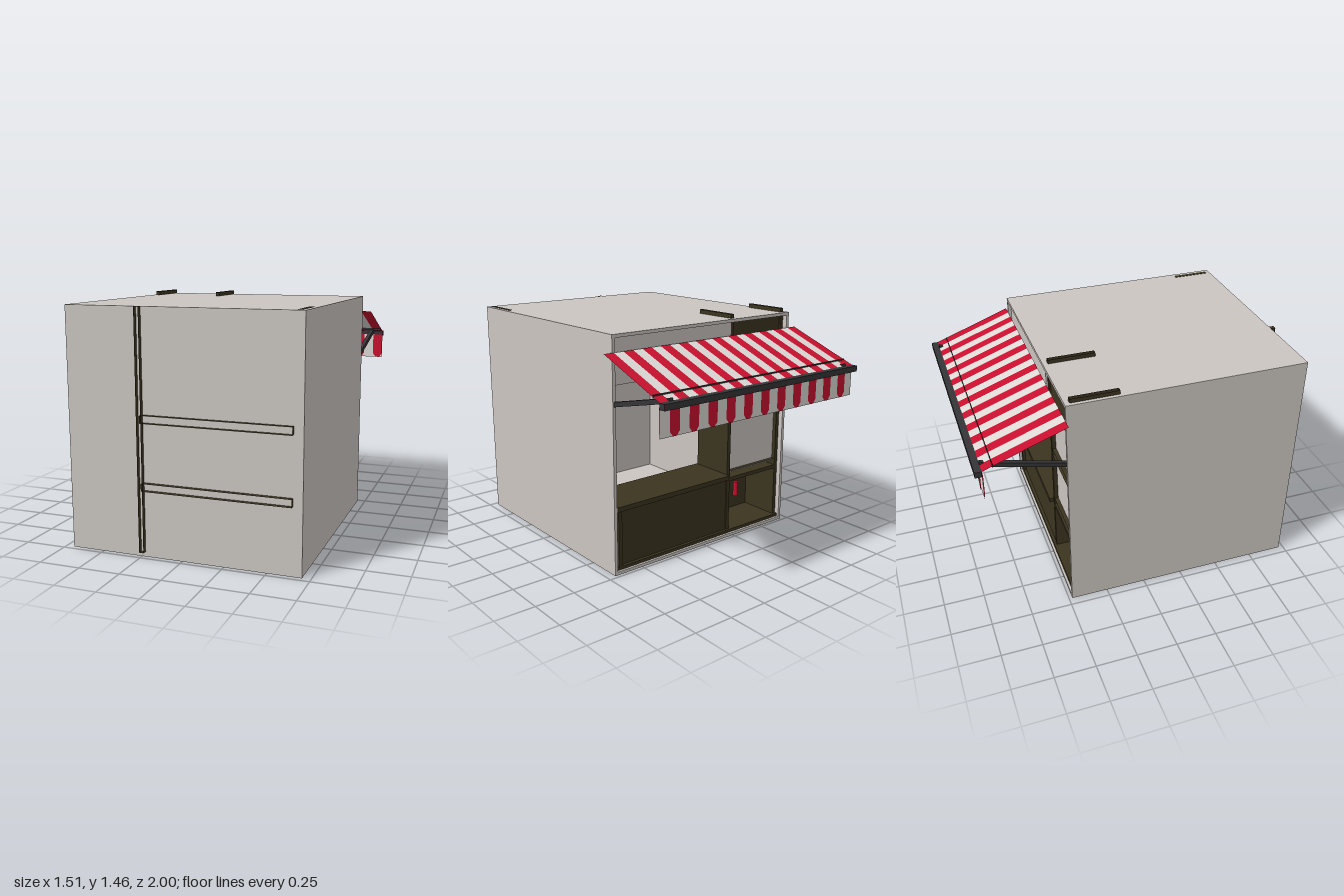
import * as THREE from 'three';

const mat = (name, color, side = THREE.FrontSide) => {
  const m = new THREE.MeshStandardMaterial({ color, side });
  m.name = name;
  return m;
};

export function createModel() {
  const root = new THREE.Group();
  root.name = 'marketKiosk';
  const wall = mat('wallGrey', 0xcbc5c0);
  const wood = mat('darkWood', 0x3b3420, THREE.DoubleSide);
  const red = mat('awningRed', 0xc8102e, THREE.DoubleSide);
  const white = mat('awningWhite', 0xdcd8d4, THREE.DoubleSide);
  const metal = mat('darkMetal', 0x353537);

  const add = (name, geo, material) => {
    const m = new THREE.Mesh(geo, material);
    m.name = name;
    root.add(m);
    return m;
  };
  // Box given by its low and high limits on each axis
  const box = (name, material, x0, x1, y0, y1, z0, z1) => {
    const m = add(name, new THREE.BoxGeometry(x1 - x0, y1 - y0, z1 - z0), material);
    m.position.set((x0 + x1) / 2, (y0 + y1) / 2, (z0 + z1) / 2);
    return m;
  };
  // Square sleeve, open at both ends along the given axis
  const sleeve = (name, material, axis, x0, x1, y0, y1, z0, z1) => {
    const g = new THREE.CylinderGeometry(Math.SQRT1_2, Math.SQRT1_2, 1, 4, 1, true).toNonIndexed();
    g.rotateY(Math.PI / 4);
    if (axis === 'z') g.rotateX(Math.PI / 2);
    g.scale(x1 - x0, y1 - y0, z1 - z0);
    g.computeVertexNormals();
    const m = add(name, g, material);
    m.position.set((x0 + x1) / 2, (y0 + y1) / 2, (z0 + z1) / 2);
  };

  // Shell, open at the serving side (-z)
  const T = 0.02;
  box('floor', wall, -0.7, 0.7, 0, T, -0.48, 0.97);
  box('roof', wall, -0.7, 0.7, 1.43 - T, 1.43, -0.48, 0.97);
  box('frontWall', wall, -0.7, 0.7, T, 1.43 - T, 0.97 - T, 0.97);
  for (const s of [-1, 1]) {
    const a = s * 0.7, b = s * (0.7 - T);
    box('sideWall', wall, Math.min(a, b), Math.max(a, b), T, 1.43 - T, -0.48, 0.97 - T);
  }
  box('ceilingPanel', wood, -0.66, 0.66, 1.395, 1.41, -0.3, 0.78);
  box('servingHeader', wall, -0.21, 0.68, 1.14, 1.41, -0.46, -0.33);

  // Serving counter
  box('counterTop', wood, -0.21, 0.68, 0.39, 0.42, -0.475, -0.16);
  box('counterFront', wood, -0.21, 0.66, 0.03, 0.39, -0.445, -0.425);
  box('counterBase', wood, -0.68, 0.68, T, 0.04, -0.465, -0.165);
  box('counterPost', wood, 0.635, 0.66, 0.03, 0.39, -0.465, -0.165);

  // Tall cabinet beside the counter, its sides rising through the roof
  for (const x of [-0.665, -0.225]) {
    box('cabinetSide', wood, x - 0.0125, x + 0.0125, T, 1.425, -0.45, -0.165);
    sleeve('cabinetSideTop', wood, 'y', x - 0.0125, x + 0.0125, 1.43, 1.455, -0.45, -0.165);
  }
  box('cabinetUpperBox', wood, -0.655, -0.235, 1.15, 1.41, -0.44, -0.165);
  box('cabinetDoor', wall, -0.655, -0.235, 0.42, 1.15, -0.425, -0.41);
  box('cabinetShelf', wood, -0.655, -0.235, 0.37, 0.395, -0.45, -0.165);
  box('nicheBack', wood, -0.655, -0.235, 0.04, 0.37, -0.185, -0.165);
  for (const y of [0.395, 0.785]) {
    sleeve('cabinetRail', wood, 'z', -0.652, -0.238, y, y + 0.045, -0.45, -0.425);
  }
  const bottle = add('redBottle', new THREE.CylinderGeometry(0.018, 0.018, 0.1, 12), red);
  bottle.position.set(-0.44, 0.23, -0.3);

  // Shelf unit edges showing on the front wall
  sleeve('frontUpright', wood, 'z', -0.255, -0.228, 0.03, 1.43, 0.97, 1);
  for (const y of [0.395, 0.785]) {
    sleeve('frontShelfEdge', wood, 'z', -0.235, 0.645, y, y + 0.045, 0.97, 1);
  }
  box('roofInlay', wood, 0.65, 0.675, 1.425, 1.432, 0.71, 0.945);

  // Striped awning sheet
  const N = 23, W = 1.51, w = W / N;
  const run = 0.48, drop = 0.175, len = Math.hypot(run, drop);
  // Pointed valance tab, tip at the bottom
  const tab = new THREE.Shape();
  tab.moveTo(-w / 2, 1.13);
  tab.lineTo(-w / 2, 0.992);
  tab.lineTo(-w / 5, 0.966);
  tab.lineTo(w / 5, 0.966);
  tab.lineTo(w / 2, 0.992);
  tab.lineTo(w / 2, 1.13);
  const tabGeo = new THREE.ShapeGeometry(tab);
  for (let i = 0; i < N; i++) {
    const x = -W / 2 + (i + 0.5) * w;
    const stripe = add('awningStripe', new THREE.PlaneGeometry(w, len), i % 2 ? white : red);
    stripe.rotation.x = Math.atan2(run, drop) - Math.PI;
    stripe.position.set(x, 1.33 - drop / 2, -0.48 - run / 2);
    // Red tabs alternate between the inner and outer faces of the valance
    const t = add('valanceTab', tabGeo, red);
    t.position.set(x, 0, i % 2 ? -0.964 : -0.956);
    if (i % 2) t.rotation.y = Math.PI;
  }
  const valance = add('valance', new THREE.PlaneGeometry(W, 0.165), white);
  valance.position.set(0, 1.0475, -0.96);

  // Awning rail, ridge strip and support arms
  box('awningRail', metal, -W / 2, W / 2, 1.12, 1.155, -1, -0.96);
  box('awningRidge', metal, -0.75, 0.75, 1.165, 1.184, -0.902, -0.898);
  const armLen = Math.hypot(0.5, 0.122);
  for (const s of [-1, 1]) {
    const arm = add('awningArm', new THREE.BoxGeometry(0.025, 0.028, armLen), metal);
    arm.position.set(s * 0.68, 1.095, -0.712);
    arm.rotation.x = Math.atan2(0.122, 0.5);
  }
  return root;
}
